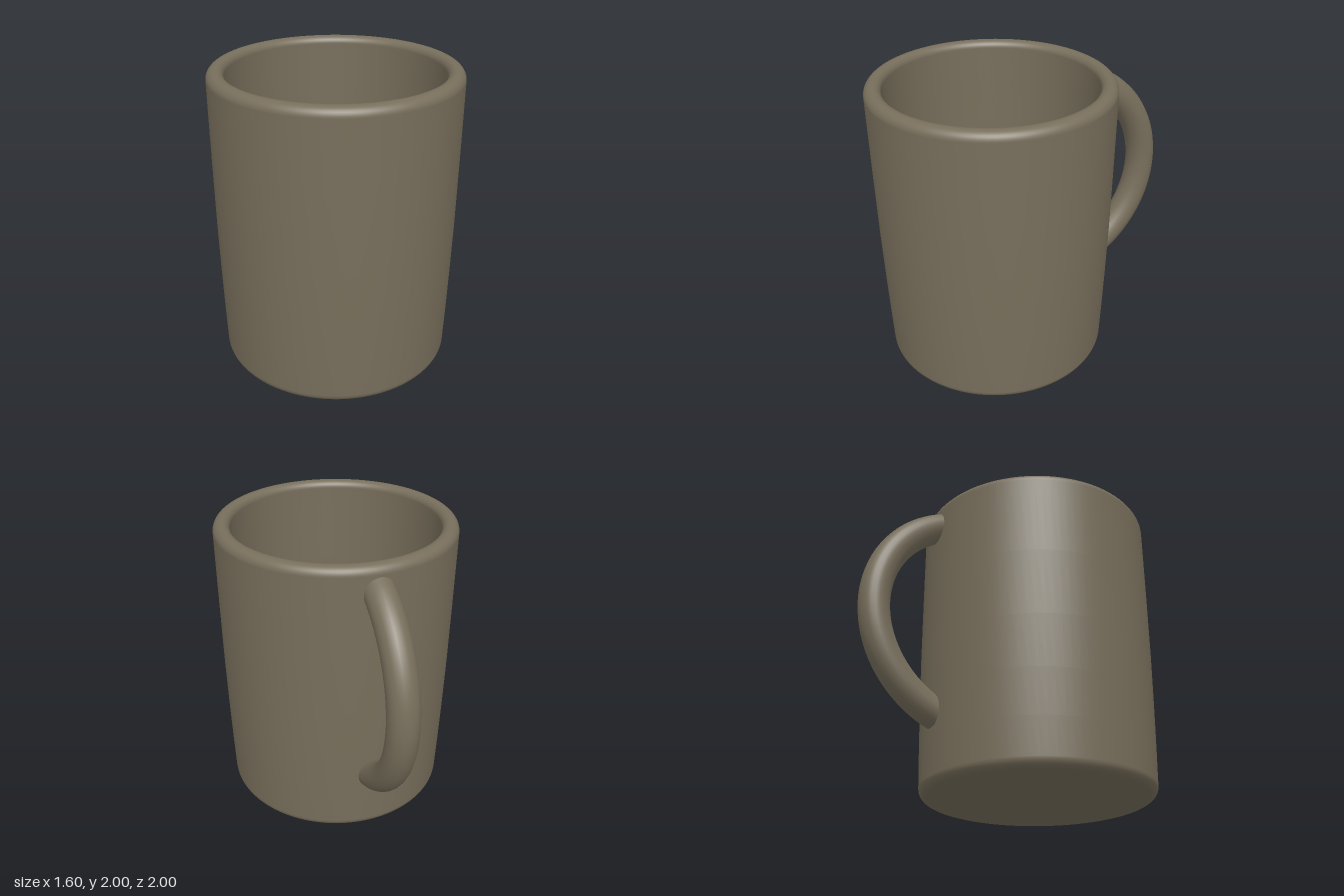
import * as THREE from 'three';

const clay = new THREE.MeshStandardMaterial({ color: 0x776e5b });
clay.name = 'clay brown';

// Points along a rounded corner, angles in degrees
function corner(cx, cy, r, from, to, steps = 8) {
  return Array.from({ length: steps + 1 }, (_, i) => {
    const a = THREE.MathUtils.degToRad(from + ((to - from) * i) / steps);
    return new THREE.Vector2(cx + r * Math.cos(a), cy + r * Math.sin(a));
  });
}

export function createModel() {
  const group = new THREE.Group();
  group.name = 'mug';
  const mug = new THREE.Group();
  mug.position.z = 0.2;
  group.add(mug);

  // Cup: one closed profile running from the base, over the rim, to the inner floor
  const p = (x, y) => new THREE.Vector2(x, y);
  const profile = [
    p(0, 0), p(0.69, 0),
    ...corner(0.71, 0.06, 0.06, -90, 0),
    p(0.778, 0.3), p(0.786, 0.6), p(0.793, 0.95), p(0.797, 1.4),
    ...corner(0.742, 1.942, 0.058, 0, 90),
    ...corner(0.737, 1.953, 0.047, 90, 180),
    p(0.69, 1.4), p(0.683, 0.8),
    ...corner(0.57, 0.22, 0.1, 0, -90),
    p(0.5, 0.12), p(0, 0.12),
  ];
  const cup = new THREE.Mesh(new THREE.LatheGeometry(profile, 96), clay);
  cup.name = 'cup';
  mug.add(cup);

  // Handle: round bar bent along an arc, its ends buried in the wall
  const arc = THREE.MathUtils.degToRad(68);
  const path = Array.from({ length: 17 }, (_, i) => {
    const a = arc - (2 * arc * i) / 16;
    return new THREE.Vector3(0, 1.145 + 0.755 * Math.sin(a), -0.456 - 0.755 * Math.cos(a));
  });
  const bar = new THREE.TubeGeometry(new THREE.CatmullRomCurve3(path), 64, 0.102, 24);
  const handle = new THREE.Mesh(bar, clay);
  handle.name = 'handle';
  handle.rotation.y = THREE.MathUtils.degToRad(24.5);
  mug.add(handle);

  return group;
}
